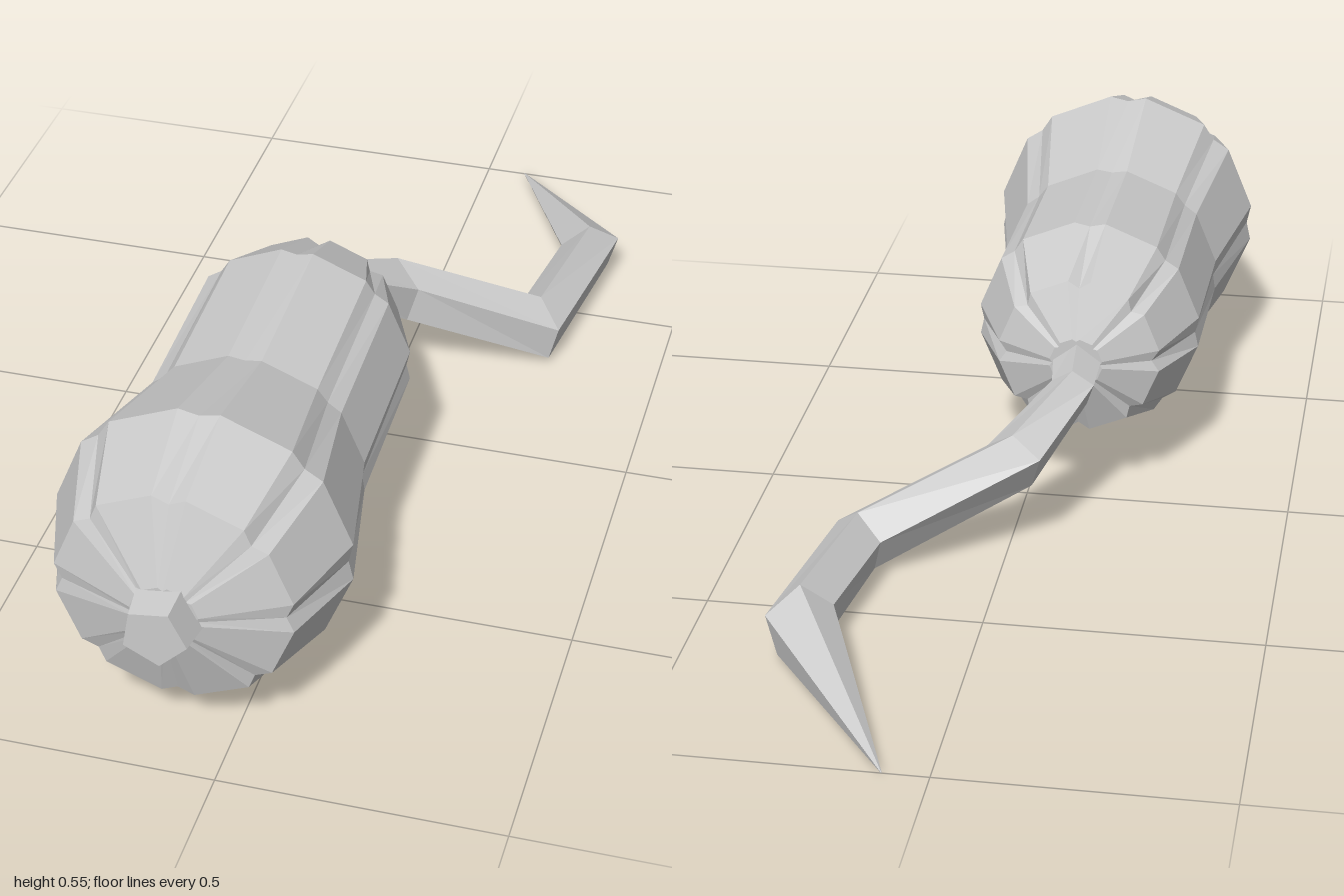
import * as THREE from 'three';

const V = (x, y, z) => new THREE.Vector3(x, y, z);
const AXIS_X = -0.095, AXIS_Y = 0.288;

// Skin a list of rings (counter-clockwise seen from the far end) and cap both ends.
function loft(name, rings) {
  const pos = [];
  const tri = (...pts) => pts.forEach((p) => pos.push(p.x, p.y, p.z));
  const n = rings[0].length;
  const middle = (r) => r.reduce((s, p) => s.add(p), V(0, 0, 0)).divideScalar(n);
  const first = rings[0], last = rings[rings.length - 1];
  const c0 = middle(first), c1 = middle(last);
  for (let j = 0; j < n; j++) {
    const k = (j + 1) % n;
    for (let i = 0; i < rings.length - 1; i++) {
      const a = rings[i], b = rings[i + 1];
      tri(a[j], a[k], b[k]);
      tri(a[j], b[k], b[j]);
    }
    tri(c0, first[k], first[j]);
    tri(c1, last[j], last[k]);
  }
  const geo = new THREE.BufferGeometry();
  geo.setAttribute('position', new THREE.Float32BufferAttribute(pos, 3));
  geo.computeVertexNormals();
  const mesh = new THREE.Mesh(geo, new THREE.MeshStandardMaterial({ color: 0xcccccc, flatShading: true }));
  mesh.name = name;
  return mesh;
}

// Eight flat lobes separated by narrow V grooves.
function lobedRing([z, r, groove, cy]) {
  const ring = [];
  for (let i = 0; i < 8; i++) {
    for (const [offset, k] of [[-8, 1], [0, groove], [8, 1]]) {
      const a = THREE.MathUtils.degToRad(i * 45 + offset);
      ring.push(V(AXIS_X + Math.cos(a) * r * k, cy + Math.sin(a) * r * k, z));
    }
  }
  return ring;
}

function stemRing(z, r) {
  return Array.from({ length: 5 }, (_, i) => {
    const a = THREE.MathUtils.degToRad(-10 + i * 72);
    return V(AXIS_X + Math.cos(a) * r, AXIS_Y + Math.sin(a) * r, z);
  });
}

// Pentagon with one corner up; side sets its heading and lean tilts it along z.
function vineRing({ at, r, side, lean }) {
  const s = V(-side[0], 0, -side[1]).normalize();
  const up = V(0, 1, lean);
  return Array.from({ length: 5 }, (_, i) => {
    const a = Math.PI / 2 + (i * Math.PI * 2) / 5;
    return V(...at).addScaledVector(s, Math.cos(a) * r).addScaledVector(up, Math.sin(a) * r);
  });
}

export function createModel() {
  const group = new THREE.Group();
  group.name = 'squash';

  // Body: z, radius, groove depth factor, centre height
  group.add(loft('body', [
    [-0.02, 0.05, 0.9, 0.29],
    [0.02, 0.153, 0.9, 0.288],
    [0.16, 0.213, 0.96, 0.289],
    [0.48, 0.214, 0.97, 0.272],
    [0.73, 0.263, 0.96, 0.288],
    [0.895, 0.208, 0.93, 0.288],
    [0.945, 0.06, 0.9, 0.288],
  ].map(lobedRing)));

  // Stub at the front end
  group.add(loft('stub', [stemRing(0.9, 0.07), stemRing(0.945, 0.066), stemRing(1, 0.058)]));

  // Curling vine that tapers to a point
  group.add(loft('vine', [
    { at: [-0.095, 0.285, 0.02], r: 0.05, side: [1, 0], lean: -0.2 },
    { at: [-0.1, 0.272, -0.088], r: 0.042, side: [1, 0.12], lean: -0.35 },
    { at: [-0.012, 0.184, -0.225], r: 0.06, side: [0.9, 0.43], lean: -0.3 },
    { at: [0.253, 0.062, -0.345], r: 0.062, side: [0.79, 0.61], lean: -0.2 },
    { at: [0.295, 0.062, -0.65], r: 0.064, side: [0.89, -0.45], lean: 0.25 },
    { at: [0.08, 0.001, -1], r: 0.001, side: [0.89, -0.45], lean: 0 },
  ].map(vineRing)));

  return group;
}
